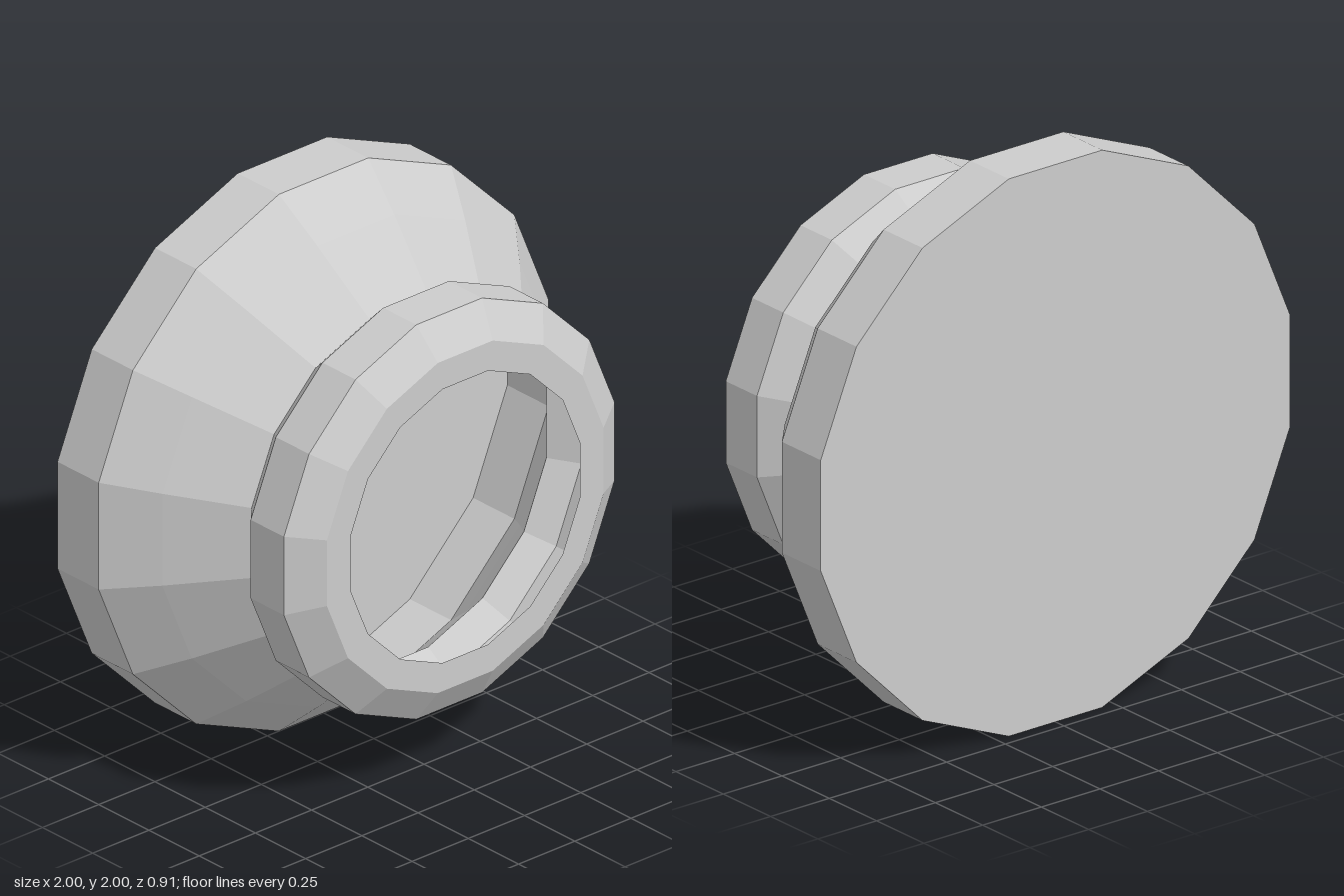
import * as THREE from 'three';

const SIDES = 16;

// Hollow faceted shell: flat-to-flat radius and depth along z, from back to front.
const PROFILE = [
  [0, -0.455],     // centre of back disc
  [1, -0.455],     // back edge
  [1, -0.25],      // front of wide band
  [0.86, -0.09],   // flare
  [0.655, 0.125],  // neck
  [0.735, 0.21],   // collar
  [0.735, 0.375],
  [0.615, 0.455],  // front bevel
  [0.51, 0.455],   // edge of opening
];

// Turn part of the profile into a flat-faceted ring whose axis is z.
function ring(name, from, to, material) {
  const toCorner = 1 / Math.cos(Math.PI / SIDES);
  const points = PROFILE.slice(from, to + 1).map(([r, z]) => new THREE.Vector2(r * toCorner, z));
  const geometry = new THREE.LatheGeometry(points, SIDES, Math.PI / SIDES).toNonIndexed();
  geometry.rotateX(Math.PI / 2);
  geometry.computeVertexNormals();
  const mesh = new THREE.Mesh(geometry, material);
  mesh.name = name;
  mesh.position.y = 1;
  return mesh;
}

export function createModel() {
  const grey = new THREE.MeshStandardMaterial({ color: 0xcccccc, flatShading: true, side: THREE.DoubleSide });
  grey.name = 'light grey';

  const model = new THREE.Group();
  model.name = 'hollowKnob';
  model.add(
    ring('backDisc', 0, 1, grey),
    ring('wideBand', 1, 2, grey),
    ring('flare', 2, 4, grey),
    ring('collar', 4, 7, grey),
    ring('frontRim', 7, 8, grey),
  );
  return model;
}
